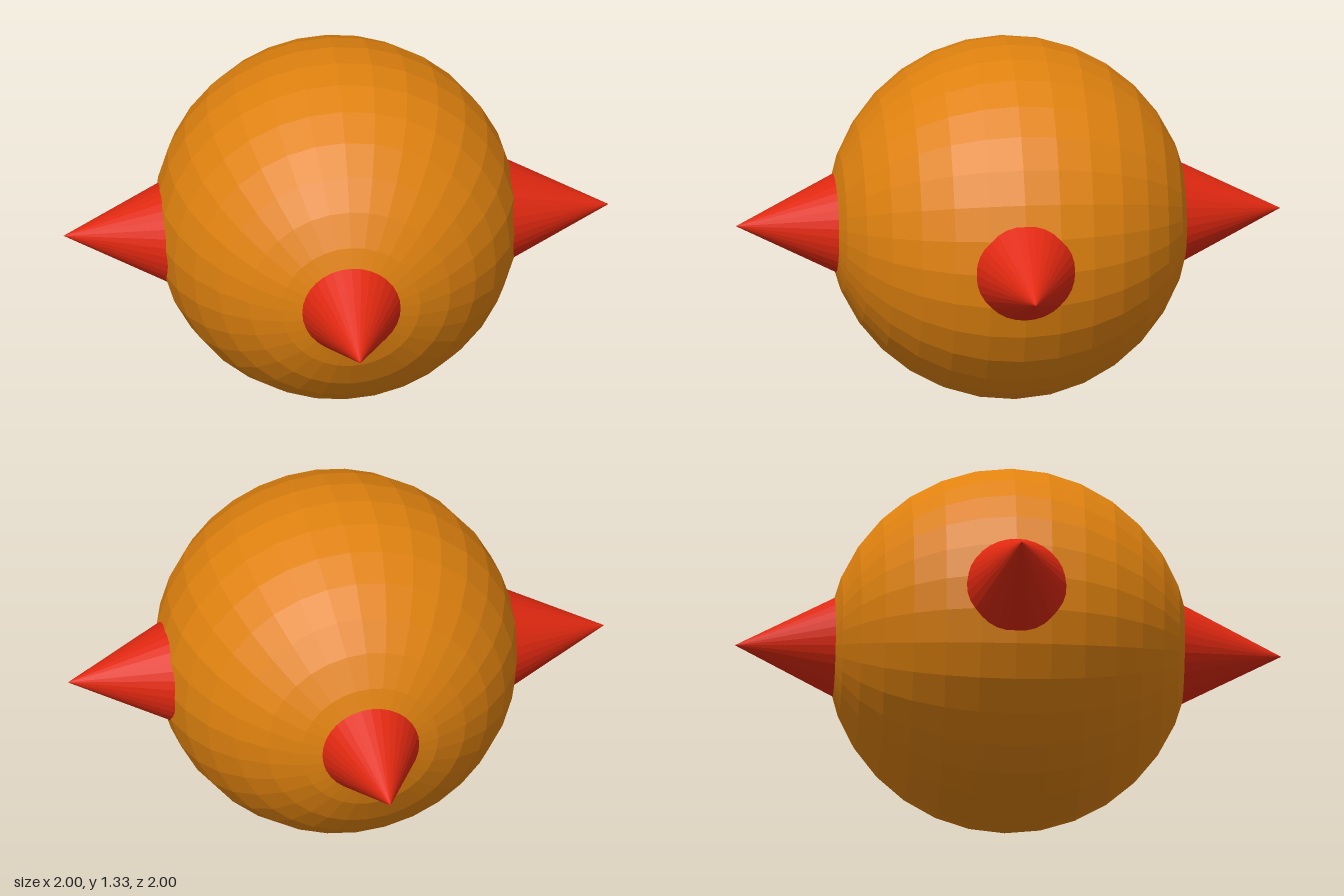
import * as THREE from 'three';

const SEGMENTS = 32;
const CENTRE_Y = 0.668;

export function createModel() {
  const model = new THREE.Group();
  model.name = 'spikedBall';

  const orange = new THREE.MeshStandardMaterial({ color: 0xe0820f });
  orange.name = 'orange';
  orange.flatShading = true;
  const red = new THREE.MeshStandardMaterial({ color: 0xe02810 });
  red.name = 'red';
  red.flatShading = true;

  // Faceted ball with its poles facing front and back
  const ballGeometry = new THREE.SphereGeometry(0.667, SEGMENTS, SEGMENTS / 2);
  ballGeometry.rotateX(Math.PI / 2);
  const ball = new THREE.Mesh(ballGeometry, orange);
  ball.name = 'ball';
  ball.position.y = CENTRE_Y;
  model.add(ball);

  // Spike pointing along +z, its base sunk into the ball
  const spikeGeometry = new THREE.ConeGeometry(0.2, 0.4, SEGMENTS);
  spikeGeometry.rotateX(Math.PI / 2);
  spikeGeometry.translate(0, 0, 0.8);

  // One spike on each side; the right one sits slightly lower
  const spikes = [
    ['frontSpike', 0, 0],
    ['leftSpike', Math.PI / 2, 0],
    ['backSpike', Math.PI, 0],
    ['rightSpike', -Math.PI / 2, -0.025],
  ];
  for (const [name, turn, drop] of spikes) {
    const spike = new THREE.Mesh(spikeGeometry, red);
    spike.name = name;
    spike.rotation.y = turn;
    spike.position.y = CENTRE_Y + drop;
    model.add(spike);
  }

  return model;
}
